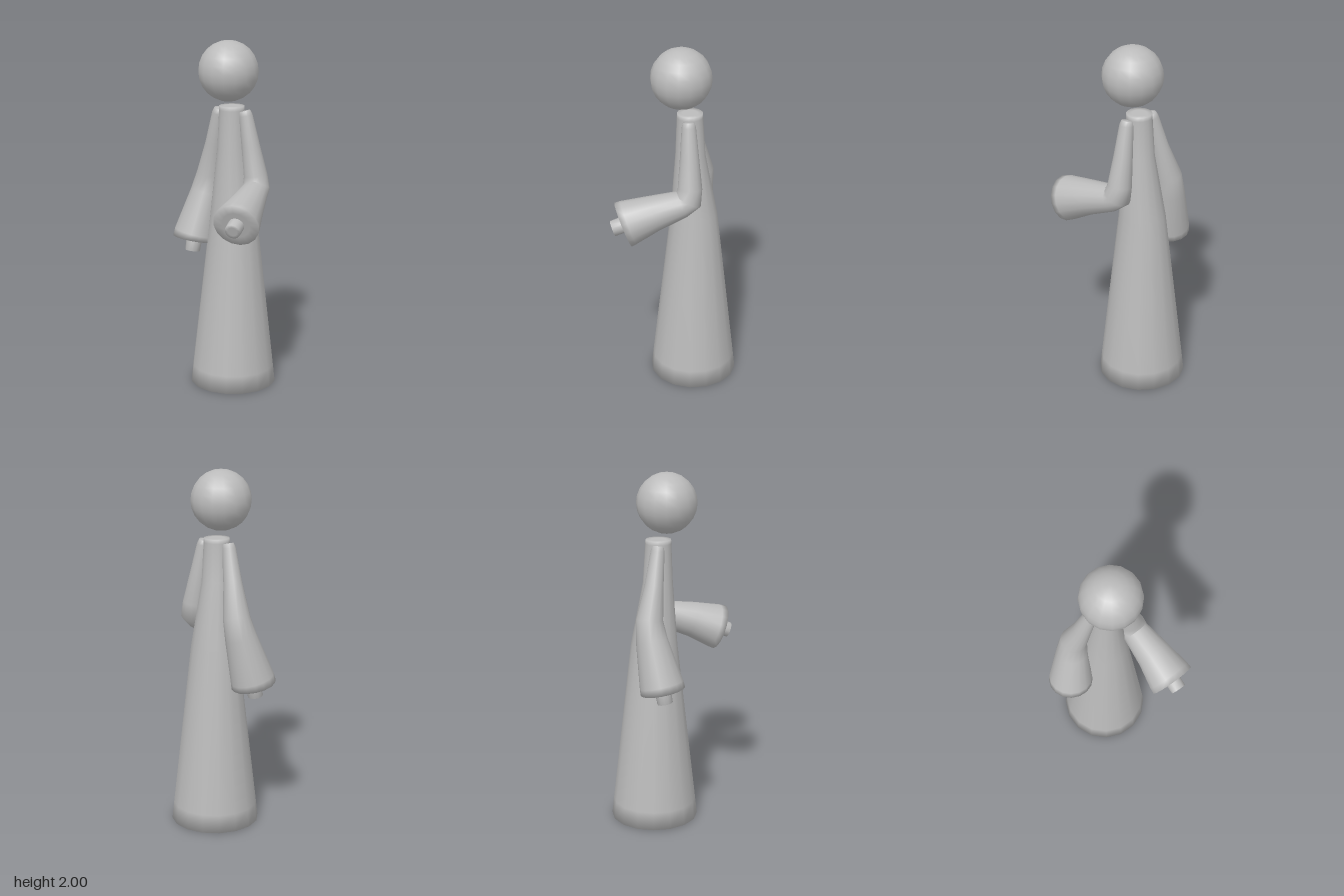
import * as THREE from 'three';

const V = (x, y, z) => new THREE.Vector3(x, y, z);

// Smooth closed tube through sections [x, y, z, radius]; ring planes follow the path unless an axis is given.
function loft(sections, sides = 16, axis = null) {
  const pts = sections.map(([x, y, z]) => V(x, y, z));
  const last = pts.length - 1;
  const rings = sections.map((s, i) => ({
    p: pts[i],
    r: s[3],
    t: axis ?? pts[Math.min(i + 1, last)].clone().sub(pts[Math.max(i - 1, 0)]).normalize(),
  }));
  // Inner rings on the two end caps
  const inner = (ring) => ({ ...ring, r: ring.r * 0.6 });
  rings.unshift(inner(rings[0]));
  rings.push(inner(rings[rings.length - 1]));

  const pos = [], index = [];
  for (const { p, r, t } of rings) {
    const u = V(1, 0, 0).addScaledVector(t, -t.x).normalize();
    const v = t.clone().cross(u);
    for (let j = 0; j < sides; j++) {
      const a = (j / sides) * Math.PI * 2;
      const q = p.clone().addScaledVector(u, r * Math.cos(a)).addScaledVector(v, r * Math.sin(a));
      pos.push(q.x, q.y, q.z);
    }
  }
  for (let i = 0; i < rings.length - 1; i++) {
    for (let j = 0; j < sides; j++) {
      const k = (j + 1) % sides;
      const a = i * sides + j, b = i * sides + k;
      index.push(a, b, b + sides, a, b + sides, a + sides);
    }
  }
  // Cap centres
  const end = (rings.length - 1) * sides, c0 = rings.length * sides, c1 = c0 + 1;
  pos.push(...pts[0].toArray(), ...pts[last].toArray());
  for (let j = 0; j < sides; j++) {
    const k = (j + 1) % sides;
    index.push(c0, k, j, c1, end + j, end + k);
  }
  const g = new THREE.BufferGeometry();
  g.setAttribute('position', new THREE.Float32BufferAttribute(pos, 3));
  g.setIndex(index);
  g.computeVertexNormals();
  return g;
}

export function createModel() {
  const model = new THREE.Group();
  model.name = 'robedFigure';
  const grey = new THREE.MeshStandardMaterial({ color: 0xbbbbbb });
  grey.name = 'plainGrey';
  const add = (name, geometry) => {
    const mesh = new THREE.Mesh(geometry, grey);
    mesh.name = name;
    model.add(mesh);
    return mesh;
  };

  // Floating head
  const head = add('head', new THREE.SphereGeometry(0.168, 16, 12));
  head.position.set(0.002, 1.833, -0.025);

  // Long robe, narrowing to the neck
  add('robe', loft([
    [-0.01, 0, -0.098, 0.247],
    [-0.01, 0.1, -0.098, 0.236],
    [-0.008, 1.03, -0.097, 0.131],
    [-0.006, 1.39, -0.075, 0.083],
    [-0.005, 1.61, -0.072, 0.072],
    [-0.005, 1.632, -0.072, 0.071],
  ], 16, V(0, 1, 0)));

  // Right sleeve hangs down and flares at the cuff
  add('rightSleeve', loft([
    [-0.085, 1.61, -0.072, 0.03],
    [-0.092, 1.585, -0.074, 0.038],
    [-0.134, 1.4, -0.093, 0.052],
    [-0.18, 1.22, -0.118, 0.075],
    [-0.2, 1.11, -0.105, 0.088],
    [-0.24, 0.87, -0.052, 0.122],
    [-0.243, 0.835, -0.045, 0.125],
  ]));
  add('rightHand', loft([
    [-0.242, 0.86, -0.05, 0.046],
    [-0.247, 0.765, -0.032, 0.043],
  ], 12));

  // Left sleeve bends forward at the elbow
  add('leftSleeve', loft([
    [0.078, 1.61, -0.072, 0.032],
    [0.085, 1.585, -0.073, 0.039],
    [0.113, 1.42, -0.08, 0.052],
    [0.143, 1.25, -0.086, 0.067],
    [0.152, 1.185, -0.078, 0.077],
    [0.16, 1.16, -0.04, 0.077],
    [0.2, 1.118, 0.11, 0.1],
    [0.23, 1.071, 0.243, 0.126],
    [0.237, 1.06, 0.272, 0.129],
  ]));
  add('leftHand', loft([
    [0.234, 1.069, 0.25, 0.046],
    [0.25, 1.04, 0.328, 0.044],
  ], 12));

  return model;
}
